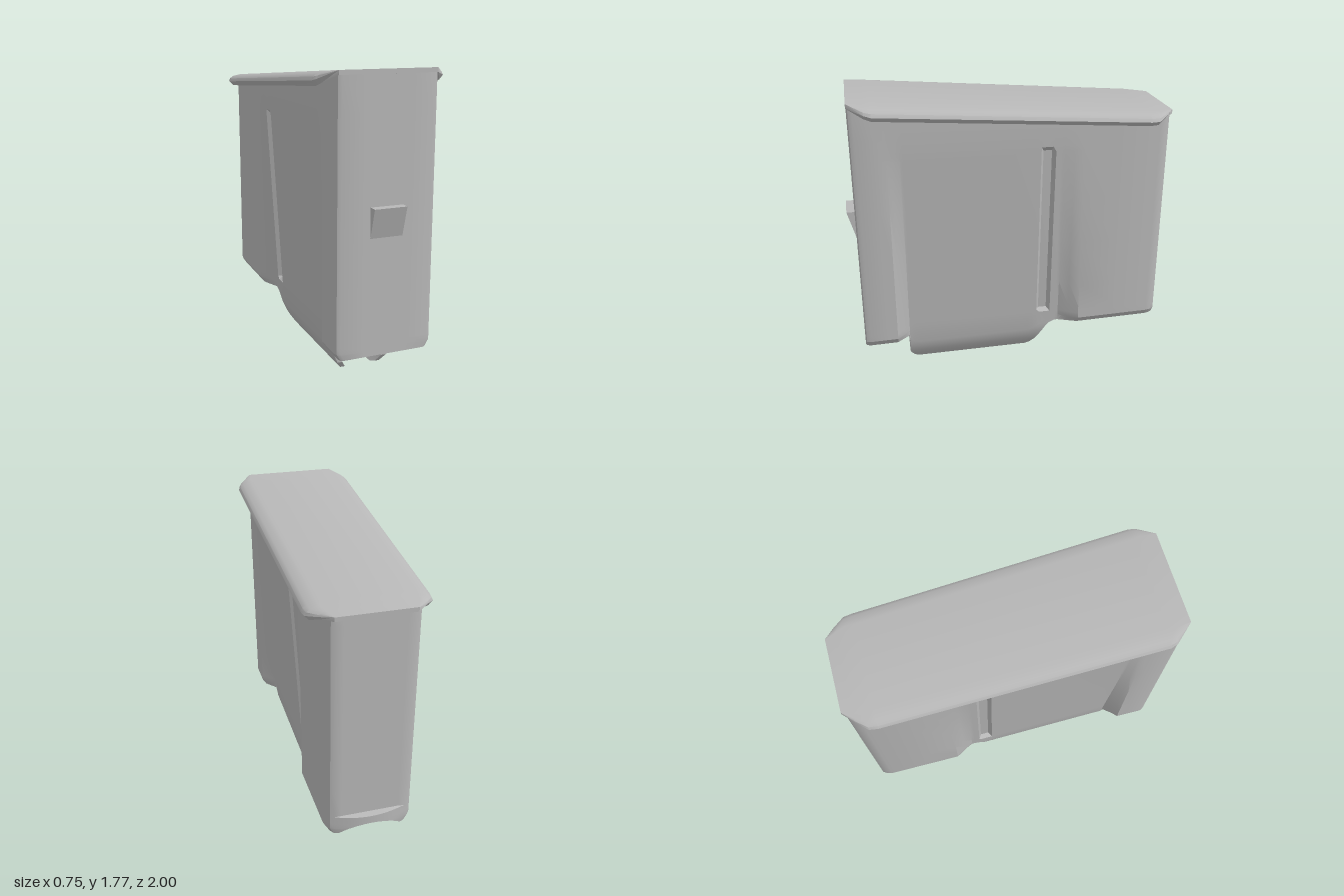
import * as THREE from 'three';
import { toCreasedNormals } from 'three/addons/utils/BufferGeometryUtils.js';

const { clamp, lerp } = THREE.MathUtils;
const ramp = (v, a, b) => clamp((v - a) / (b - a), 0, 1);
const topY = z => 1.765 - 0.081 * (0.95 - z);
const halfWidth = z => 0.275 + 0.0165 * z;

// Piecewise linear lookup, keys descending
function lookup(table, v) {
  if (v >= table[0][0]) return table[0][1];
  for (let i = 1; i < table.length; i++) {
    const [a, p] = table[i - 1], [b, q] = table[i];
    if (v >= b) return lerp(p, q, (a - v) / (a - b));
  }
  return table[table.length - 1][1];
}

// Skin a list of closed rings with creased normals
function skin(rings) {
  const n = rings[0].length, index = [];
  for (let j = 0; j < rings.length - 1; j++) {
    for (let i = 0; i < n; i++) {
      const k = (i + 1) % n;
      const a = j * n + i, b = a + n, c = (j + 1) * n + k, d = j * n + k;
      index.push(a, b, c, a, c, d);
    }
  }
  const g = new THREE.BufferGeometry();
  g.setAttribute('position', new THREE.Float32BufferAttribute(rings.flat(2), 3));
  g.setIndex(index);
  return toCreasedNormals(g, 0.5);
}

// Lower edge of the side walls: deep in the middle, shallow at both ends
const EDGE = [[0.676, 0.21], [0.67, 0.06], [0.64, 0.015], [0.6, 0], [-0.1, 0],
  [-0.14, 0.025], [-0.22, 0.17], [-0.25, 0.2], [-0.28, 0.21]];
// Half plan, front centre to back centre: [fraction of half width, z]
const PLAN = [
  [0, 0.95], [0.45, 0.95], [0.9, 0.95], [0.97, 0.942], [1, 0.92],
  ...[0.8, 0.75, 0.72, 0.69, 0.676, 0.67, 0.655, 0.64, 0.6, 0.3, 0, -0.1, -0.13, -0.155, -0.174,
    -0.2, -0.226, -0.245, -0.28, -0.3, -0.36, -0.42, -0.65, -0.89].map(z => [1, z]),
  [0.97, -0.925], [0.9, -0.95], [0.8, -0.96], [0.65, -0.96], [0.5, -0.96],
  [0.33, -0.96], [0.16, -0.96], [0, -0.96],
];
const LEVELS = [1.55, 1.44, 1.41, 1.1, 0.8, 0.5, 0.335, 0.33, 0.305, 0.285];
const STEPS = [0.47, 0.62, 0.75, 0.88, 1];

function wallPoint([k, z], side, row, inner) {
  const w = halfWidth(z);
  const arch = z < -0.95 ? Math.max(0, 1 - (k * w / 0.2) ** 2) : 0;
  const bottom = lookup(EDGE, z) + 0.07 * arch;
  const y = row === 0 ? topY(z) - 0.015
    : row <= LEVELS.length ? LEVELS[row - 1]
      : lerp(0.285, bottom, STEPS[row - LEVELS.length - 1]);
  // Middle of the wall leans in and curls at the foot
  const pinch = Math.min(ramp(z, 0.75, 0.67), ramp(z, -0.42, -0.3));
  let x = w - pinch * ((w - 0.195) * ramp(y, 1.5, 0.2) + 0.08 * ramp(y, 0.2, 0) ** 2);
  x -= (1 - pinch) * 0.025 * ramp(y, 0.25, 0.21);
  // Upright groove
  x -= 0.03 * ramp(Math.abs(z + 0.2), 0.045, 0.026)
    * Math.min(ramp(y, 0.285, 0.305), ramp(y, 1.44, 1.41));
  if (inner) return [side * Math.min(k * x, x - 0.03), y, clamp(z, -0.935, 0.92)];
  // Bowed catch at the foot of the back wall
  return [side * k * x, y, z - (y < 0.332 ? 0.04 * arch : 0)];
}

function shellGeometry() {
  const ring = (row, inner) => [
    ...PLAN.map(p => wallPoint(p, 1, row, inner)),
    ...PLAN.slice(1, -1).reverse().map(p => wallPoint(p, -1, row, inner)),
  ];
  const rows = [...Array(1 + LEVELS.length + STEPS.length).keys()];
  return skin([...rows.map(r => ring(r, false)), ...rows.reverse().map(r => ring(r, true))]);
}

// Sloping lid with hooked rails along both sides
function lidGeometry() {
  const HOOK = [[0, 0], [0.055, -0.012], [0.078, -0.028], [0.088, -0.048], [0.062, -0.076],
    [0.047, -0.068], [0.062, -0.046], [0.036, -0.03], [0, -0.03]];
  const section = ([z, base, f]) => {
    const half = HOOK.map(([dx, dy], i) => [
      base + dx * f,
      topY(z) + (i < 4 ? dy * f : Math.min(dy * f, -0.025)),
      z,
    ]);
    return [...half, ...half.slice().reverse().map(([x, y, c]) => [-x, y, c])];
  };
  return skin([
    [-0.972, 0, 0], [-0.972, 0.22, 0], [-0.91, 0.243, 0.5], [-0.85, halfWidth(-0.85), 0.92],
    [-0.8, halfWidth(-0.8), 1], [0.82, halfWidth(0.82), 1], [0.86, halfWidth(0.86), 0.85],
    [0.952, 0.28, 0], [0.952, 0, 0],
  ].map(section));
}

// Wedge catch on the front wall
function catchGeometry() {
  const s = new THREE.Shape([[0.94, 0.88], [0.952, 0.88], [1, 1.05], [0.94, 1.05]]
    .map(p => new THREE.Vector2(...p)));
  const g = new THREE.ExtrudeGeometry(s, { depth: 0.19, bevelEnabled: false });
  g.rotateY(-Math.PI / 2).translate(0.095, 0, 0);
  return g;
}

export function createModel() {
  const group = new THREE.Group();
  const grey = new THREE.MeshStandardMaterial({ color: 0xb8b8b8 });
  grey.name = 'plain grey';
  const add = (name, geometry) => {
    const mesh = new THREE.Mesh(geometry, grey);
    mesh.name = name;
    group.add(mesh);
  };
  add('shell', shellGeometry());
  add('railedLid', lidGeometry());
  add('frontCatch', catchGeometry());
  return group;
}
